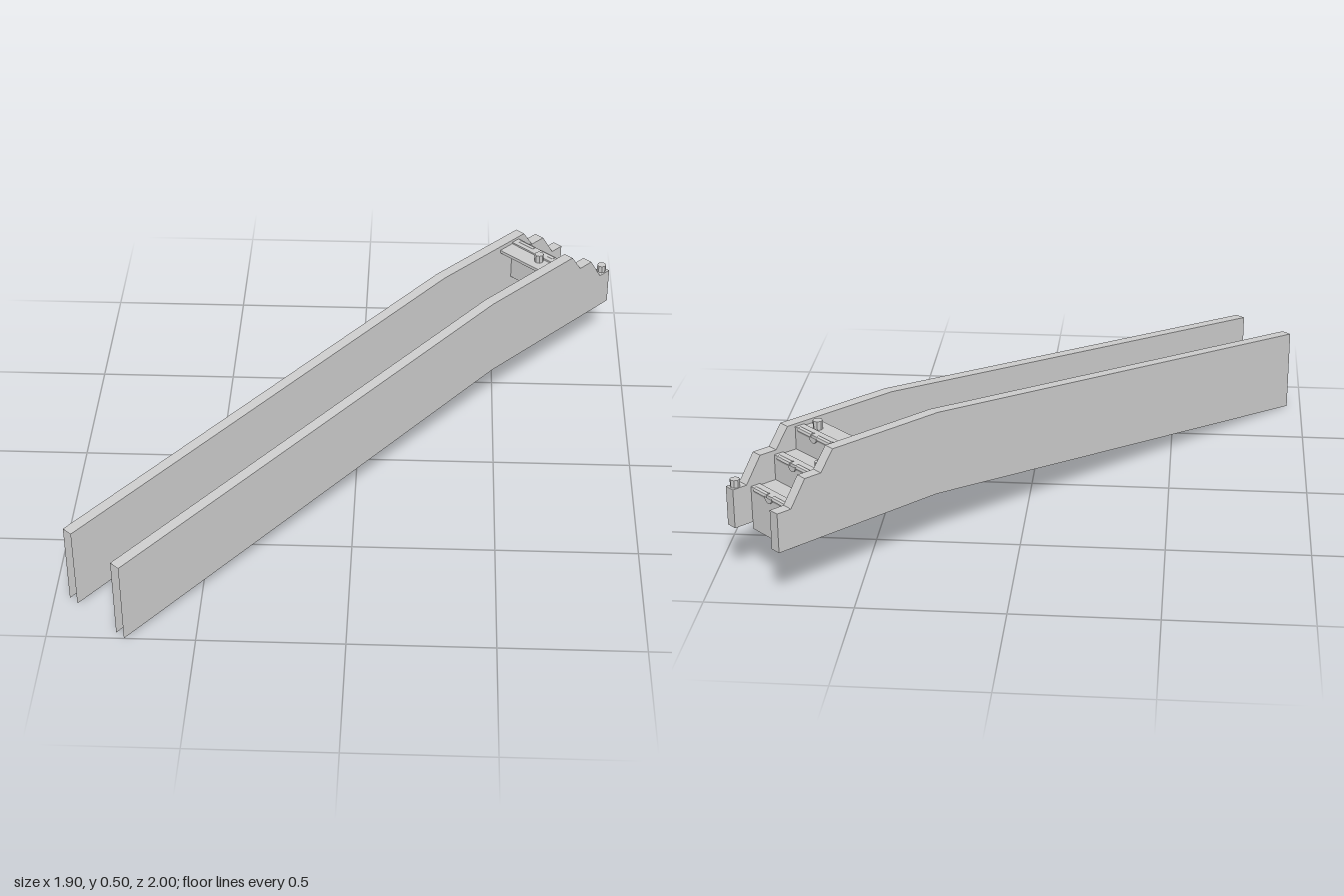
import * as THREE from 'three';

const mat = new THREE.MeshStandardMaterial({ color: 0xcccccc, flatShading: true, side: THREE.DoubleSide });

function add(parent, geo, name, x = 0, y = 0, z = 0) {
  const m = new THREE.Mesh(geo, mat);
  m.name = name;
  m.position.set(x, y, z);
  parent.add(m);
  return m;
}

// upper edge of a rail: low end, bend, then the stepped high end
const TOP = [[-1.235, 0.305], [0.56, 0.49], [1.004, 0.49], [1.055, 0.42], [1.12, 0.42], [1.18, 0.33], [1.235, 0.33], [1.235, 0.19]];
const SIDE = [...TOP, [0.57, 0.19], [-1.235, 0]];
const RAIL_WIDTH = 0.04, RAIL_Z = 0.1225;

// strip swept across z over a profile
function strip(points, width) {
  const pos = [], idx = [];
  points.forEach(([x, y], i) => {
    pos.push(x, y, -width / 2, x, y, width / 2);
    if (i) {
      const a = 2 * i - 2;
      idx.push(a, a + 1, a + 3, a, a + 3, a + 2);
    }
  });
  const g = new THREE.BufferGeometry();
  g.setAttribute('position', new THREE.Float32BufferAttribute(pos, 3));
  g.setIndex(idx);
  g.computeVertexNormals();
  return g;
}

// hollow rail, open below and at its low end
function rail(z) {
  const g = new THREE.Group();
  g.name = z > 0 ? 'leftRail' : 'rightRail';
  const shape = new THREE.Shape(SIDE.map(([x, y]) => new THREE.Vector2(x, y)));
  for (const s of [-1, 1]) {
    const wall = add(g, new THREE.ShapeGeometry(shape), 'railWall', 0, 0, s * RAIL_WIDTH / 2);
    if (s < 0) {
      // turn the far wall's faces outwards
      const ix = wall.geometry.index.array;
      for (let i = 0; i < ix.length; i += 3) [ix[i], ix[i + 1]] = [ix[i + 1], ix[i]];
      wall.geometry.computeVertexNormals();
    }
  }
  add(g, strip(TOP, RAIL_WIDTH), 'railCover');
  g.position.z = z;
  return g;
}

// one step between the rails: upright panel, tread and half-round tab
function step(x, top) {
  const g = new THREE.Group();
  g.name = 'step';
  const w = 0.205;
  add(g, new THREE.BoxGeometry(0.036, 0.155, w), 'stepPanel', 0, -0.0775, 0);
  add(g, new THREE.BoxGeometry(0.07, 0.012, w), 'stepTread', -0.05, -0.012, 0);
  const tab = add(g, new THREE.CylinderGeometry(0.02, 0.02, 0.008, 12, 1, false, 0, Math.PI), 'stepTab', 0.02, -0.005, 0);
  tab.rotation.set(0, 0, -Math.PI / 2);
  for (const z of [-0.05, 0.05]) {
    const lip = add(g, new THREE.CylinderGeometry(0.012, 0.012, 0.07, 8), 'stepLip', 0.01, -0.008, z);
    lip.rotation.x = Math.PI / 2;
  }
  g.position.set(x, top, 0);
  return g;
}

export function createModel() {
  const model = new THREE.Group();
  model.name = 'ramp';
  const body = new THREE.Group();
  body.name = 'rampBody';
  body.rotation.y = 0.819;
  model.add(body);

  for (const s of [-1, 1]) body.add(rail(s * RAIL_Z));

  // stepped end between the rails
  for (const [x, y] of [[0.955, 0.48], [1.045, 0.405], [1.145, 0.32]]) body.add(step(x, y));

  // small knobs on the steps and the rail end
  for (const [x, y, z] of [[0.918, 0.488, 0.05], [1.02, 0.415, -0.09], [1.212, 0.34, 0.122]]) {
    add(body, new THREE.CylinderGeometry(0.017, 0.017, 0.034, 8), 'knob', x, y, z);
  }
  return model;
}
